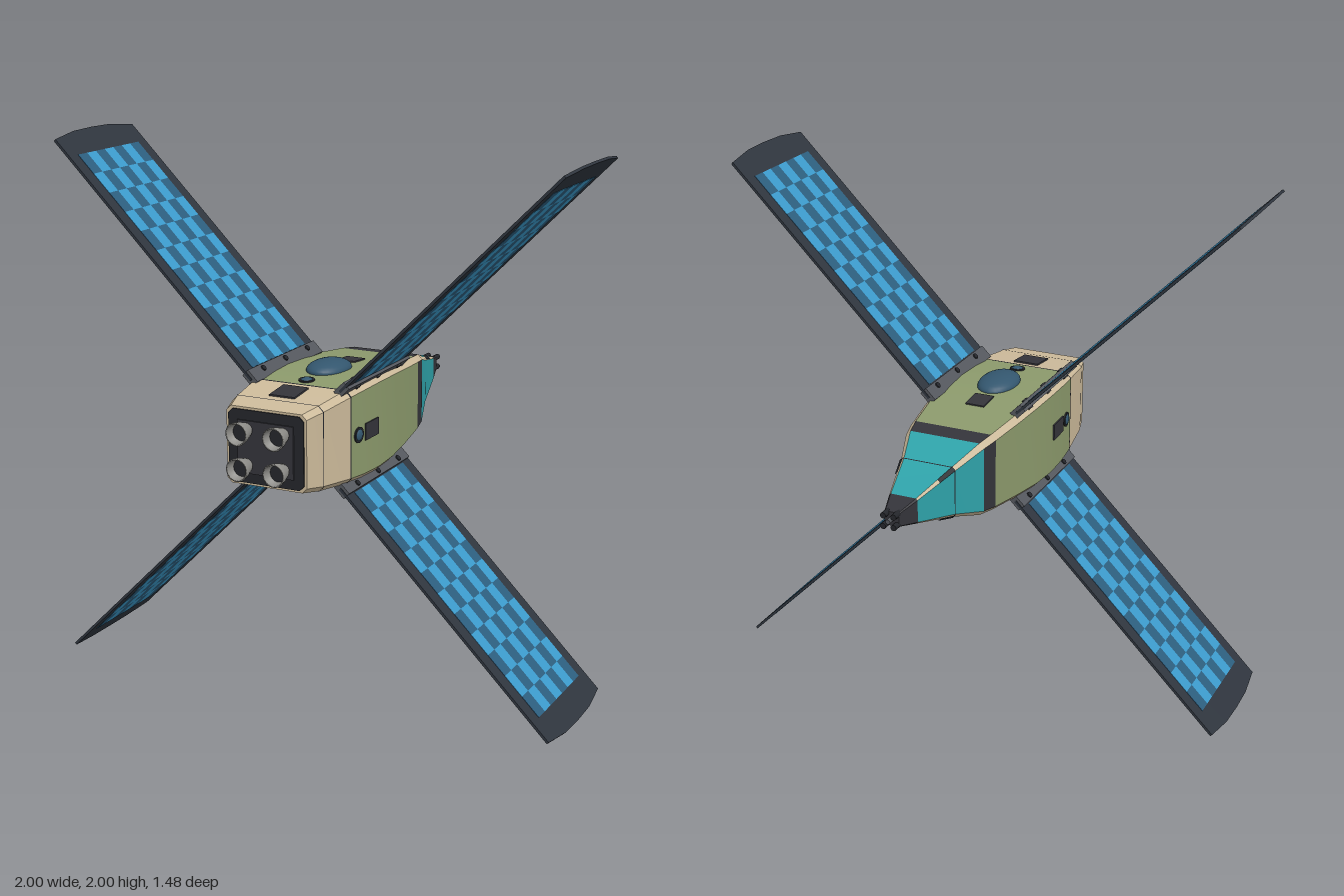
import * as THREE from 'three';
import { mergeGeometries } from 'three/addons/utils/BufferGeometryUtils.js';

const CY = 1.005;
// Hull stations: z, half width, half height
const STATIONS = [
  [-0.71, 0.028, 0.026], [-0.62, 0.055, 0.048], [-0.43, 0.106, 0.096], [-0.29, 0.155, 0.141],
  [-0.22, 0.17, 0.15], [-0.06, 0.193, 0.165], [0.08, 0.208, 0.177], [0.2, 0.213, 0.181],
  [0.31, 0.21, 0.178], [0.41, 0.201, 0.171], [0.575, 0.179, 0.153], [0.655, 0.157, 0.14],
];
const mat = (color, side = THREE.FrontSide) => new THREE.MeshStandardMaterial({ color, side });
const CREAM = mat(0xcdbb9b), GREEN = mat(0x8c9a6c), TEAL = mat(0x2fa3aa), DARK = mat(0x34343a);
const BLACK = mat(0x24262b), STEEL = mat(0x55585e), GLASS = mat(0x33566e), FRAME = mat(0x2f353e);
const CELL_LIGHT = mat(0x3c9acb), CELL_DARK = mat(0x2c5e7e), NOZZLE = mat(0x8e8d89, THREE.DoubleSide);

function size(z) {
  let i = 0;
  while (i < STATIONS.length - 2 && z > STATIONS[i + 1][0]) i++;
  const a = STATIONS[i], b = STATIONS[i + 1], t = (z - a[0]) / (b[0] - a[0]);
  return [a[1] + (b[1] - a[1]) * t, a[2] + (b[2] - a[2]) * t];
}

// Rectangle with cut corners, counter-clockwise seen from +z
function ring(z, grow = 0) {
  const [w, h] = size(z).map((v) => v + grow), c = h * 0.13;
  return [[w, c - h], [w, h - c], [w - c, h], [c - w, h], [-w, h - c], [-w, c - h], [c - w, -h], [w - c, -h]];
}

// Hull skin between two z values; faces 0,2,4,6 are flats and 1,3,5,7 corners
function skin(faces, z0, z1, grow = 0) {
  const zs = [z0, ...STATIONS.map((s) => s[0]).filter((z) => z > z0 + 1e-4 && z < z1 - 1e-4), z1];
  const pos = [], idx = [];
  for (const k of faces) {
    const base = pos.length / 3;
    zs.forEach((z, i) => {
      const r = ring(z, grow);
      pos.push(...r[k], z, ...r[(k + 1) % 8], z);
      if (i) {
        const a = base + i * 2 - 2;
        idx.push(a, a + 1, a + 3, a, a + 3, a + 2);
      }
    });
  }
  const g = new THREE.BufferGeometry();
  g.setAttribute('position', new THREE.Float32BufferAttribute(pos, 3));
  g.setIndex(idx);
  g.computeVertexNormals();
  return g;
}

function add(parent, name, geo, material, x = 0, y = 0, z = 0) {
  const m = new THREE.Mesh(geo, material);
  m.name = name;
  m.position.set(x, y, z);
  parent.add(m);
  return m;
}

function capGeometry(z, scale, depth) {
  const pts = ring(z).map(([x, y]) => new THREE.Vector2(x * scale, y * scale));
  return new THREE.ExtrudeGeometry(new THREE.Shape(pts), { depth, bevelEnabled: false });
}

function buildHull() {
  const g = new THREE.Group();
  g.name = 'hull';
  const flats = [0, 2, 4, 6], corners = [1, 3, 5, 7], all = [...flats, ...corners];
  add(g, 'rearHull', skin(all, 0.41, 0.655), CREAM);
  add(g, 'cornerTrim', skin(corners, -0.62, 0.41), CREAM);
  add(g, 'midPanels', skin(flats, -0.22, 0.41), GREEN);
  add(g, 'darkBand', skin(flats, -0.29, -0.22), DARK);
  add(g, 'nosePanels', skin(flats, -0.62, -0.29), TEAL);
  add(g, 'noseTip', skin(all, -0.71, -0.62), DARK);
  add(g, 'noseCornerPlates', skin(corners, -0.51, -0.43, 0.004), BLACK);
  add(g, 'noseCap', capGeometry(-0.71, 1, 0.01), DARK, 0, 0, -0.71);
  // Panel seams
  for (const [z, w] of [[0.575, 0.004], [0.41, 0.008], [-0.43, 0.004]])
    add(g, 'seam', skin(all, z - w / 2, z + w / 2, 0.0015), BLACK);
  // Engine bulkhead
  add(g, 'rearRim', capGeometry(0.655, 1, 0.004), CREAM, 0, 0, 0.651);
  add(g, 'bulkhead', capGeometry(0.655, 0.94, 0.008), BLACK, 0, 0, 0.652);
  add(g, 'enginePlate', new THREE.BoxGeometry(0.22, 0.19, 0.008), DARK, 0, 0, 0.662);
  // Docking prongs
  for (const [x, y] of [[0.02, 0.02], [-0.02, 0.02], [-0.02, -0.02], [0.02, -0.02]])
    add(g, 'nosePin', new THREE.CylinderGeometry(0.011, 0.011, 0.05, 10).rotateX(Math.PI / 2), BLACK, x, y, -0.712);
  add(g, 'noseProbe', new THREE.CylinderGeometry(0.009, 0.009, 0.04, 10).rotateX(Math.PI / 2), STEEL, 0, 0, -0.72);
  return g;
}

function buildEngines() {
  const g = new THREE.Group();
  g.name = 'engines';
  const profile = [[0.024, 0], [0.029, 0.012], [0.038, 0.045], [0.042, 0.07], [0.036, 0.07], [0.03, 0.03], [0, 0.02]];
  const bell = new THREE.LatheGeometry(profile.map((p) => new THREE.Vector2(...p)), 24).rotateX(Math.PI / 2);
  const neck = new THREE.CylinderGeometry(0.022, 0.022, 0.02, 16).rotateX(Math.PI / 2);
  const throat = new THREE.CircleGeometry(0.031, 20);
  for (const x of [-0.072, 0.072]) for (const y of [-0.064, 0.064]) {
    add(g, 'nozzle', bell, NOZZLE, x, y, 0.668);
    add(g, 'nozzleNeck', neck, BLACK, x, y, 0.665);
    add(g, 'nozzleThroat', throat, BLACK, x, y, 0.705);
  }
  return g;
}

// Places a fitting on the side reached by turning the top by some quarter turns
function fit(parent, name, geo, material, turn, z) {
  const axis = turn % 2 ? 0 : 1;
  const pivot = new THREE.Group();
  pivot.name = name;
  pivot.rotation.z = turn * Math.PI / 2;
  const m = add(pivot, name, geo, material, 0, size(z)[axis], z);
  m.rotation.x = -Math.atan((size(z + 0.02)[axis] - size(z - 0.02)[axis]) / 0.04);
  parent.add(pivot);
}

function buildFittings() {
  const g = new THREE.Group();
  g.name = 'fittings';
  const dome = new THREE.SphereGeometry(1, 32, 16);
  fit(g, 'canopy', dome.clone().scale(0.075, 0.036, 0.11), GLASS, 0, 0.185);
  fit(g, 'topHatch', new THREE.BoxGeometry(0.075, 0.01, 0.09), DARK, 0, 0.01);
  for (const turn of [0, 2]) fit(g, 'rearHatch', new THREE.BoxGeometry(0.1, 0.012, 0.105), DARK, turn, 0.49);
  for (const turn of [1, 3]) fit(g, 'sideHatch', new THREE.BoxGeometry(0.062, 0.01, 0.1), DARK, turn, 0.265);
  for (const turn of [0, 1, 2, 3]) {
    fit(g, 'portholeRim', new THREE.CylinderGeometry(0.029, 0.029, 0.01, 24), BLACK, turn, 0.358);
    fit(g, 'portholeGlass', dome.clone().scale(0.023, 0.012, 0.023), GLASS, turn, 0.358);
  }
  return g;
}

// One wing, lying along +x with its chord along z
function buildWing() {
  const g = new THREE.Group();
  g.name = 'solarWing';
  const zMid = 0.195, half = 0.253, tip = 1.412;
  const s = new THREE.Shape();
  [[0.25, -half], [tip - 0.023, -half], [tip - 0.003, -0.12], [tip, 0], [tip - 0.003, 0.12], [tip - 0.023, half], [0.25, half]]
    .forEach(([x, y], i) => (i ? s.lineTo(x, y) : s.moveTo(x, y)));
  const plate = new THREE.ExtrudeGeometry(s, { depth: 0.01, bevelEnabled: false });
  add(g, 'wingFrame', plate.translate(0, 0, -0.005).rotateX(Math.PI / 2), FRAME, 0, 0, zMid);
  // Checkered cells, showing on both faces
  const cols = 7, rows = 11, r0 = 0.29, dr = (1.305 - r0) / rows, dz = 0.4 / cols, cells = [[], []];
  for (let i = 0; i < rows; i++) for (let j = 0; j < cols; j++)
    cells[(i + j) % 2].push(new THREE.BoxGeometry(dr, 0.013, dz)
      .translate(r0 + (i + 0.5) * dr, 0, zMid - 0.2 + (j + 0.5) * dz));
  add(g, 'darkCells', mergeGeometries(cells[0]), CELL_DARK);
  add(g, 'lightCells', mergeGeometries(cells[1]), CELL_LIGHT);
  // Hinge along the hull corner
  add(g, 'hingeBar', new THREE.BoxGeometry(0.055, 0.032, 0.5), STEEL, 0.258, 0, zMid);
  for (const z of [0.02, 0.19, 0.355])
    add(g, 'hingeBolt', new THREE.CylinderGeometry(0.011, 0.011, 0.042, 12), BLACK, 0.268, 0, z);
  return g;
}

export function createModel() {
  const model = new THREE.Group();
  model.name = 'spacecraft';
  const body = new THREE.Group();
  body.name = 'body';
  body.position.y = CY;
  body.add(buildHull(), buildEngines(), buildFittings());
  model.add(body);
  for (let i = 0; i < 4; i++) {
    const wing = buildWing();
    wing.position.y = 1.003;
    wing.rotation.z = Math.PI / 4 + i * Math.PI / 2;
    model.add(wing);
  }
  return model;
}
